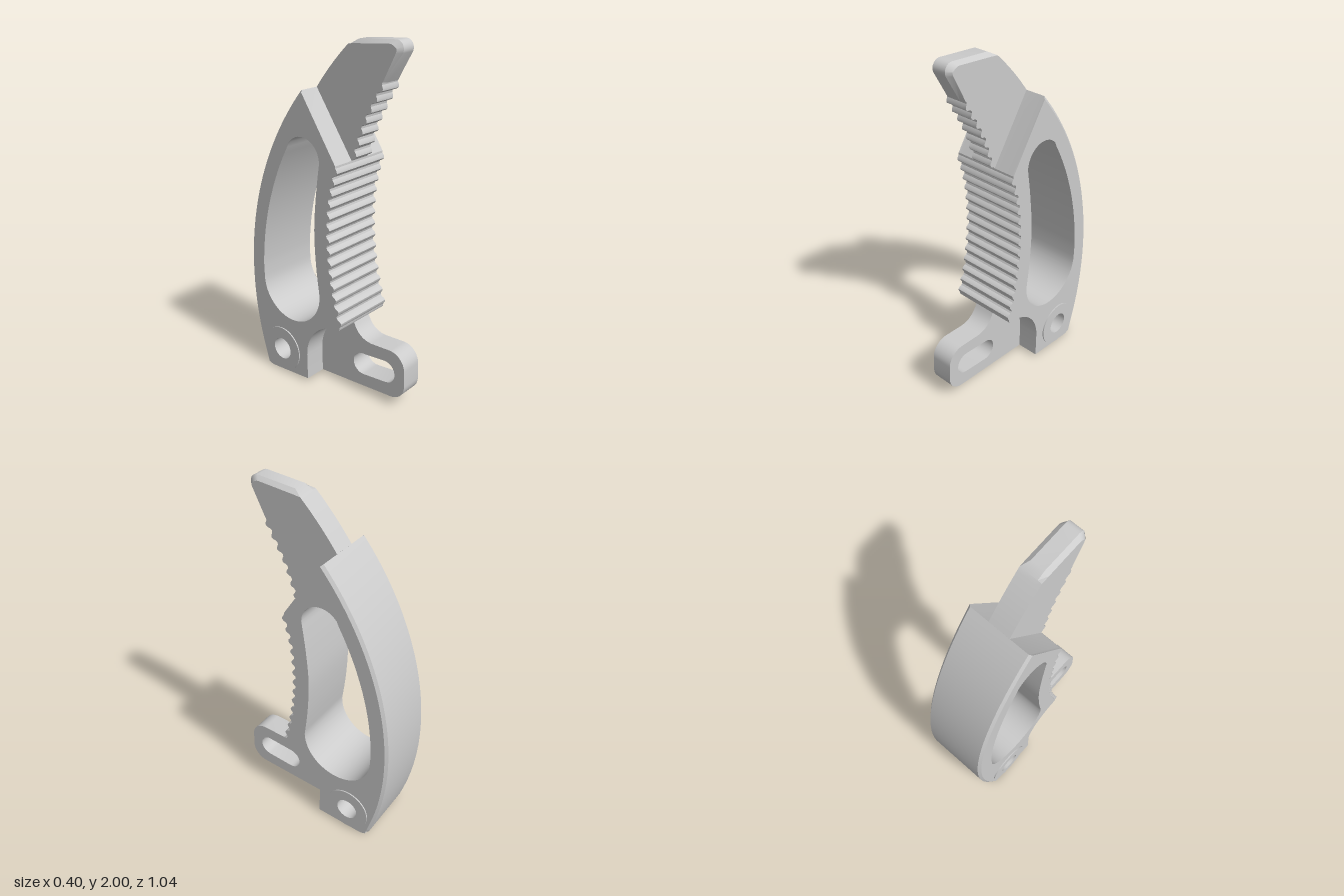
import * as THREE from 'three';
import { toCreasedNormals } from 'three/addons/utils/BufferGeometryUtils.js';

const material = new THREE.MeshStandardMaterial({ color: 0xcccccc });
const P = (z, y) => new THREE.Vector2(z, y);

// Side profiles are drawn as (z, y)
function arc(cz, cy, r, a0, a1, n = 16) {
  return Array.from({ length: n + 1 }, (_, i) => {
    const a = a0 + (a1 - a0) * i / n;
    return P(cz + r * Math.cos(a), cy + r * Math.sin(a));
  });
}
const bend = (a, c, b, n = 8) => new THREE.QuadraticBezierCurve(a, c, b).getPoints(n);

// Extrudes a profile across x; "bevel" moves the points of the two outer faces
function plate(name, outline, holes, half, bevelWidth = 0, bevel = null) {
  const shape = new THREE.Shape(outline);
  shape.holes = holes.map((h) => new THREE.Path(h));
  const geo = new THREE.ExtrudeGeometry(shape, { depth: 2, steps: bevel ? 3 : 1, bevelEnabled: false });
  const pos = geo.attributes.position;
  for (let i = 0; i < pos.count; i++) {
    const s = pos.getZ(i) - 1;
    const outer = Math.abs(s) > 0.9;
    const p = P(pos.getX(i), pos.getY(i));
    if (bevel && outer) bevel(p);
    pos.setXYZ(i, p.x, p.y, Math.sign(s) * (outer ? half : half - bevelWidth));
  }
  geo.rotateY(-Math.PI / 2);
  const mesh = new THREE.Mesh(toCreasedNormals(geo, 0.5), material);
  mesh.name = name;
  return mesh;
}

// Ribbed front edge: small rounded ribs along a curve, from bottom to tip
function ribbedEdge(ribs) {
  const curve = new THREE.SplineCurve([
    P(0.168, 0.43), P(0.115, 0.62), P(0.085, 0.8), P(0.075, 0.97),
    P(0.09, 1.17), P(0.14, 1.36), P(0.21, 1.57), P(0.33, 1.79)]);
  const lift = [0, 0.004, 0.018, 0.023, 0.018, 0.004];
  const n = ribs * lift.length;
  return Array.from({ length: n + 1 }, (_, i) => {
    const t = curve.getTangentAt(i / n);
    return curve.getPointAt(i / n).add(P(t.y, -t.x).multiplyScalar(lift[i % lift.length]));
  });
}

export function createModel() {
  const group = new THREE.Group();
  const PI = Math.PI;
  const edge = ribbedEdge(21);
  const split = 14 * 6;
  const spine = P(1.19, 0.6); // centre of the curved back
  const notchTop = P(-0.1, 1.715);
  const pivot = P(-0.2725, 0.148);

  // Wide body with large window and a chamfered back
  const body = [
    ...edge.slice(0, split + 1),
    ...arc(spine.x, spine.y, 1.705, 2.429, 3.47, 40),
    ...bend(P(-0.424, 0.045), P(-0.408, 0), P(-0.35, 0)).slice(1),
    P(-0.075, 0.02),
    ...arc(0.165, 0.18, 0.243, PI, PI / 2),
  ];
  const window_ = [
    ...arc(-0.193, 0.582, 0.217, 0, -PI, 24),
    ...arc(spine.x, spine.y, 1.603, PI, 2.62, 20).slice(1),
    ...arc(-0.0925, 1.35, 0.122, 2.62, 0, 16).slice(1),
    ...new THREE.SplineCurve([P(0.0295, 1.35), P(0.005, 1.17), P(-0.01, 0.97),
      P(0, 0.77), P(0.024, 0.582)]).getPoints(20).slice(1, -1),
  ];
  group.add(plate('body', body, [window_, arc(pivot.x, pivot.y, 0.1, 0, 2 * PI, 32).slice(1)],
    0.195, 0.014, (p) => {
      const d = p.clone().sub(spine);
      if (d.x < -1.2 && d.length() > 1.695) p.sub(d.setLength(0.016));
    }));

  // Raised pivot bushing through the body
  group.add(plate('pivotBushing', arc(pivot.x, pivot.y, 0.135, 0, 2 * PI, 40).slice(1),
    [arc(pivot.x, pivot.y, 0.066, 0, 2 * PI, 32).slice(1)], 0.202));

  // Narrow blade above the notch, with a chamfered beak
  const blade = [
    ...edge.slice(split),
    P(0.346, 1.79),
    ...arc(0.392, 1.956, 0.043, -0.45, PI / 2, 8),
    P(0.16, 1.982),
    ...bend(P(0.114, 1.957), P(-0.004, 1.846), notchTop, 12),
  ];
  group.add(plate('blade', blade, [], 0.065, 0.025, (p) => {
    if (p.x > 0.335 && p.y > 1.785) p.x -= 0.024 * Math.min(1, (p.x - 0.335) / 0.02);
    if (p.y > 1.965) p.y -= 0.02;
  }));

  // Narrow slotted lug at the foot
  const lug = [
    ...arc(0.165, 0.18, 0.243, PI / 2, PI),
    P(-0.075, 0.02),
    ...arc(0.425, 0.15, 0.096, -PI / 2, 0, 10),
    ...arc(0.42, 0.242, 0.098, 0, PI / 2, 10),
    ...bend(P(0.29, 0.333), P(0.2, 0.335), P(0.165, 0.423)).slice(0, -1),
  ];
  const tilt = 0.1;
  const slot = [
    ...arc(0.389, 0.197, 0.066, tilt - PI / 2, tilt + PI / 2, 12),
    ...arc(0.23, 0.182, 0.066, tilt + PI / 2, tilt + 1.5 * PI, 12),
  ];
  group.add(plate('slottedLug', lug, [slot], 0.065));

  return group;
}
